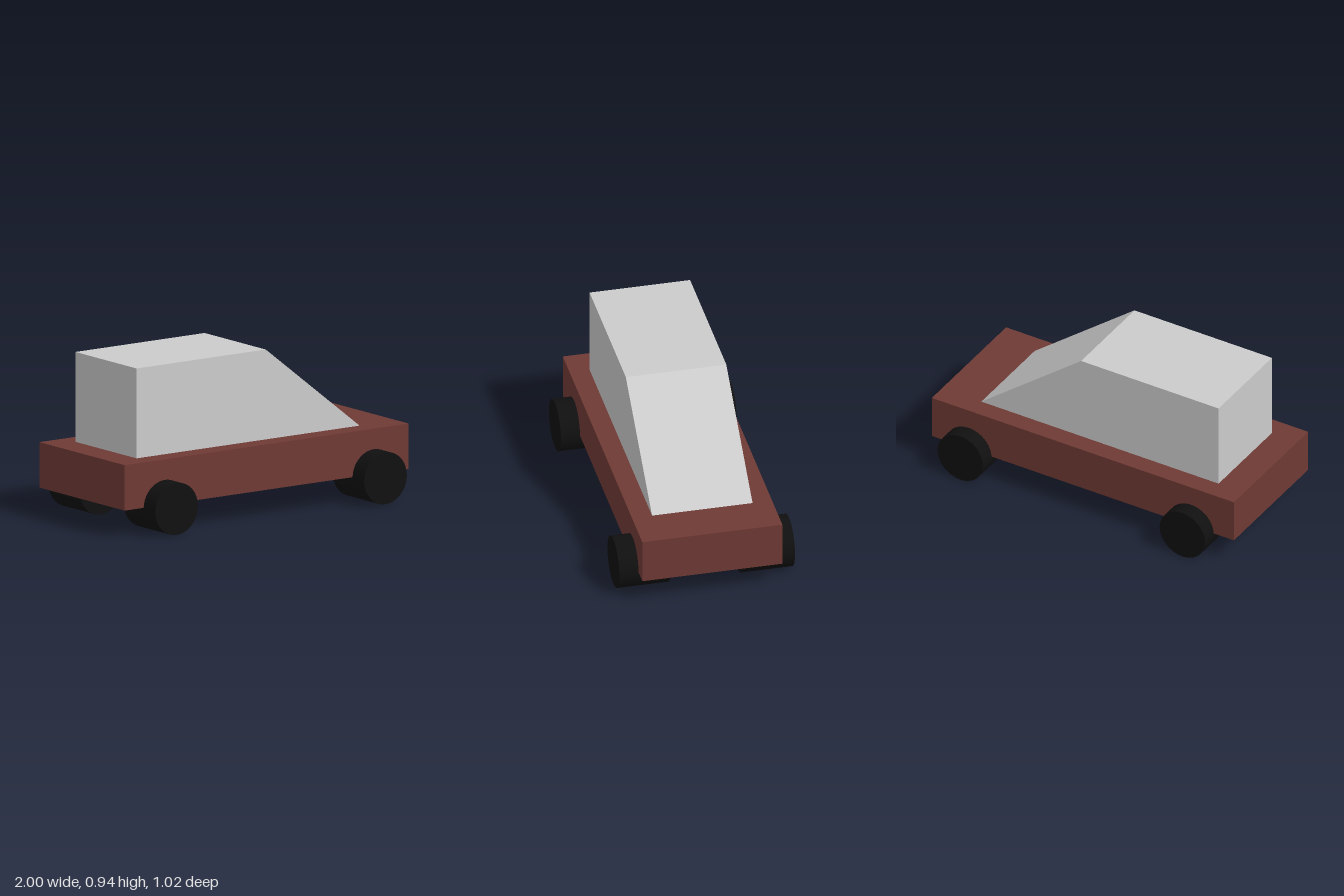
import * as THREE from 'three';

export function createModel() {
  const car = new THREE.Group();
  car.name = 'car';
  const paint = new THREE.MeshStandardMaterial({ color: 0x6f3a35 });
  const grey = new THREE.MeshStandardMaterial({ color: 0xcccccc });
  const rubber = new THREE.MeshStandardMaterial({ color: 0x101010 });

  const add = (name, geometry, material, x, y, z) => {
    const mesh = new THREE.Mesh(geometry, material);
    mesh.name = name;
    mesh.position.set(x, y, z);
    car.add(mesh);
  };

  // Flat slab body
  add('body', new THREE.BoxGeometry(2, 0.263, 0.815), paint, 0, 0.2875, -0.008);

  // Cabin: side profile with a sloping windscreen, extruded across the width
  const profile = new THREE.Shape([
    new THREE.Vector2(-0.83, 0.418),
    new THREE.Vector2(0.742, 0.418),
    new THREE.Vector2(0.08, 0.939),
    new THREE.Vector2(-0.83, 0.939),
  ]);
  const cabin = new THREE.ExtrudeGeometry(profile, { depth: 0.585, bevelEnabled: false });
  add('cabin', cabin, grey, 0, 0, -0.302);

  // Four wide wheels, axles along z
  const wheel = new THREE.CylinderGeometry(0.15, 0.15, 0.3, 64).rotateX(Math.PI / 2);
  for (const [end, x] of [['rear', -0.716], ['front', 0.755]]) {
    for (const [side, z] of [['Right', 0.361], ['Left', -0.361]]) {
      add(`${end}Wheel${side}`, wheel, rubber, x, 0.15, z);
    }
  }
  return car;
}
